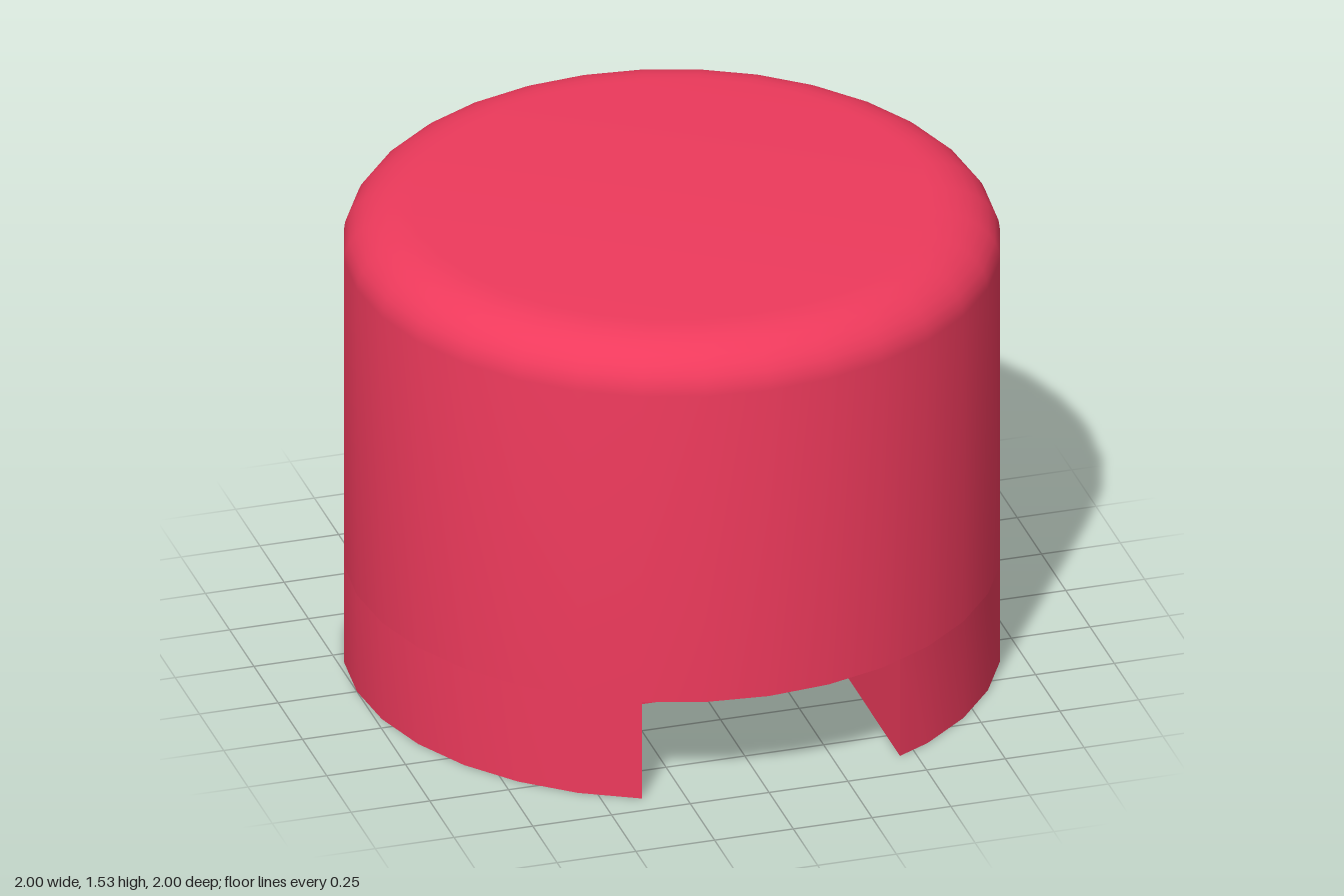
import * as THREE from 'three';
import { toCreasedNormals } from 'three/addons/utils/BufferGeometryUtils.js';

const SIDES = 32;
const HEIGHT = 1.53;
const CHANNEL_TOP = 0.33;
const CHANNEL_LEFT = 0.45;
const CHANNEL_RIGHT = -0.38;

// z of the 32-sided outline at a given x (front half)
function outlineZ(x) {
  const step = (2 * Math.PI) / SIDES;
  const i = Math.floor(Math.asin(x) / step);
  const [a, b] = [i * step, (i + 1) * step];
  const t = (x - Math.sin(a)) / (Math.sin(b) - Math.sin(a));
  return THREE.MathUtils.lerp(Math.cos(a), Math.cos(b), t);
}

// Slice of the round outline beyond x = cut, on the side given by sign
function footGeometry(cut, sign) {
  const z = outlineZ(cut);
  const points = [new THREE.Vector2(cut, -z)];
  for (let i = 0; i <= SIDES / 2; i++) {
    const a = (i * 2 * Math.PI) / SIDES;
    const x = sign * Math.sin(a);
    if (sign * (x - cut) > 0.01) points.push(new THREE.Vector2(x, -Math.cos(a)));
  }
  points.push(new THREE.Vector2(cut, z));
  const geometry = new THREE.ExtrudeGeometry(new THREE.Shape(points), {
    depth: CHANNEL_TOP, bevelEnabled: false,
  });
  geometry.rotateX(-Math.PI / 2);
  return toCreasedNormals(geometry, 0.6);
}

export function createModel() {
  const model = new THREE.Group();
  const material = new THREE.MeshStandardMaterial({ color: 0xee3a5c });
  const thin = new THREE.MeshStandardMaterial({ color: 0xee3a5c, side: THREE.DoubleSide });

  function add(name, geometry, mat = material) {
    const mesh = new THREE.Mesh(geometry, mat);
    mesh.name = name;
    model.add(mesh);
    return mesh;
  }
  function addBox(name, x0, x1, y0, y1, z0, z1) {
    add(name, new THREE.BoxGeometry(x1 - x0, y1 - y0, z1 - z0))
      .position.set((x0 + x1) / 2, (y0 + y1) / 2, (z0 + z1) / 2);
  }

  // Round cap with a softened top rim
  const profile = [new THREE.Vector2(0, CHANNEL_TOP), new THREE.Vector2(1, CHANNEL_TOP)];
  for (let i = 0; i <= 8; i++) {
    const a = (i / 8) * Math.PI / 2;
    profile.push(new THREE.Vector2(0.79 + 0.21 * Math.cos(a), HEIGHT - 0.155 + 0.155 * Math.sin(a)));
  }
  profile.push(new THREE.Vector2(0, HEIGHT));
  add('cap', toCreasedNormals(new THREE.LatheGeometry(profile, SIDES), 0.6));

  // Lower body on either side of the channel
  add('leftFoot', footGeometry(CHANNEL_LEFT, 1));
  add('rightFoot', footGeometry(CHANNEL_RIGHT, -1));

  // Thin wall closing the back of the channel
  const zl = -outlineZ(CHANNEL_LEFT);
  const zr = -outlineZ(CHANNEL_RIGHT);
  const dx = CHANNEL_LEFT - CHANNEL_RIGHT;
  const wall = add('backWall', new THREE.PlaneGeometry(Math.hypot(dx, zl - zr), CHANNEL_TOP), thin);
  wall.position.set((CHANNEL_LEFT + CHANNEL_RIGHT) / 2, CHANNEL_TOP / 2, (zl + zr) / 2);
  wall.rotation.y = -Math.atan2(zl - zr, dx);

  // Sliding block hung from the channel ceiling by a stem
  addBox('slideBlock', -0.34, 0.4, 0.02, 0.24, 0.07, 0.37);
  addBox('slideStem', -0.11, 0.19, 0.07, CHANNEL_TOP, 0.06, 0.36);

  return model;
}
